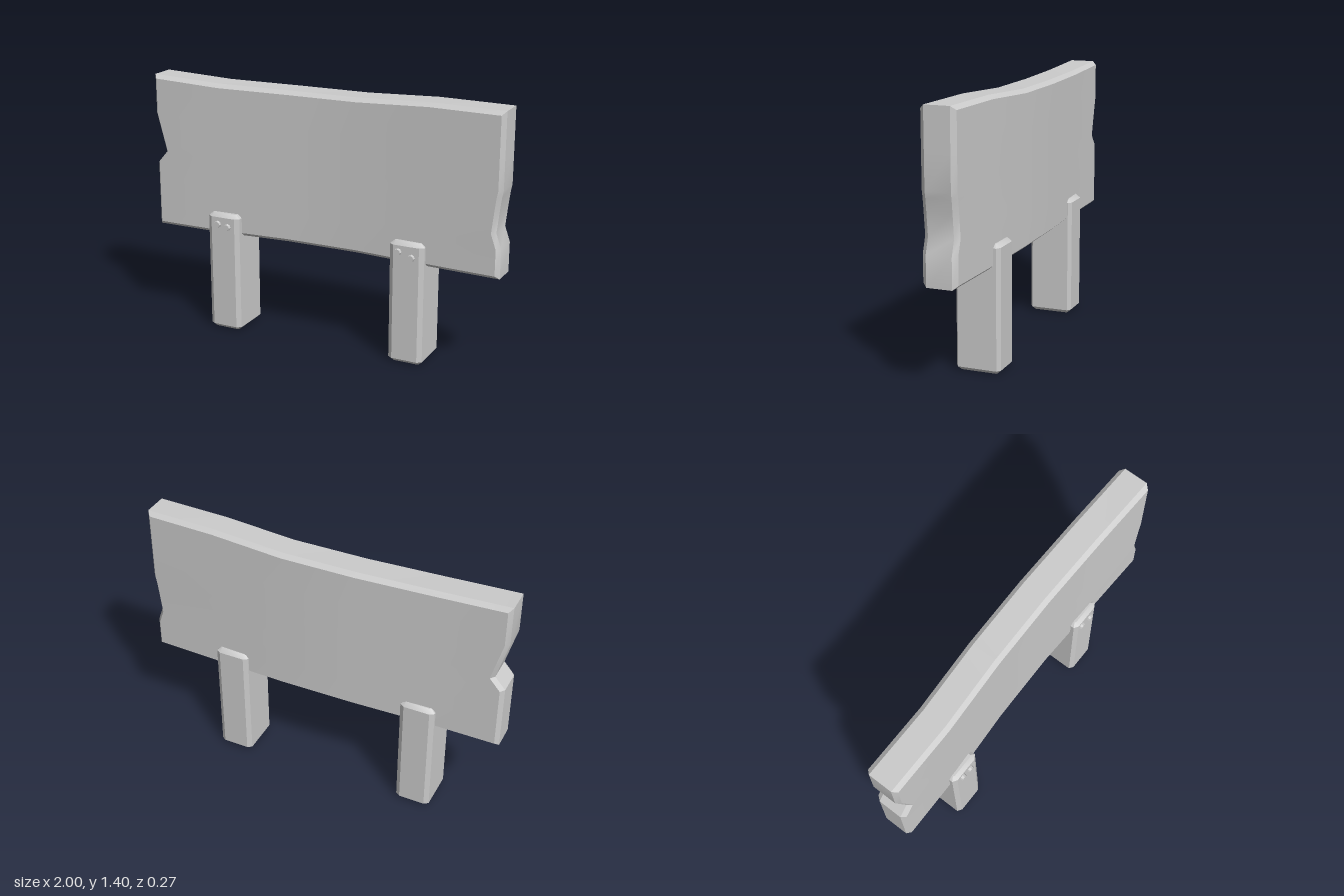
import * as THREE from 'three';
import { toCreasedNormals } from 'three/addons/utils/BufferGeometryUtils.js';

const material = new THREE.MeshStandardMaterial({ color: 0xcccccc });

function addMesh(parent, name, geometry) {
  const mesh = new THREE.Mesh(toCreasedNormals(geometry, 0.5), material);
  mesh.name = name;
  parent.add(mesh);
  return mesh;
}

// Board: a box grid whose columns bow in z and dip at the top,
// whose rows carry the notched ends, and whose outer layers are inset as a chamfer
function boardGeometry() {
  const colX = [-1, -0.6, -0.2, 0.2, 0.6, 1];
  const colTop = [1.393, 1.377, 1.376, 1.377, 1.397, 1.397];
  const colBottom = [0.542, 0.543, 0.548, 0.548, 0.543, 0.542];
  const colZ = [0, -0.003, -0.024, -0.028, -0.014, 0];
  const rowY = [0.542, 0.7, 0.78, 0.9, 0.965, 1.0, 1.18, 1.393];
  const rowLeftEnd = [-1, -1, -1, -1, -0.943, -0.952, -1, -1];
  const rowRightEnd = [1, 1, 0.972, 0.985, 0.993, 1, 1, 1];
  const layerZ = [-0.09, -0.066, 0.066, 0.09];
  const nx = colX.length - 1, ny = rowY.length - 1;

  const geometry = new THREE.BoxGeometry(1, 1, 1, nx, ny, 3);
  const p = geometry.attributes.position;
  for (let i = 0; i < p.count; i++) {
    const c = Math.round((p.getX(i) + 0.5) * nx);
    const r = Math.round((p.getY(i) + 0.5) * ny);
    const l = Math.round((p.getZ(i) + 0.5) * 3);
    const inset = l === 0 || l === 3 ? 0.02 : 0;
    let x = colX[c], y = rowY[r];
    if (c === 0) x = rowLeftEnd[r] + inset;
    if (c === nx) x = rowRightEnd[r] - inset;
    if (r === 0) y = colBottom[c] + inset;
    if (r === ny) y = colTop[c] - inset;
    p.setXYZ(i, x, y, colZ[c] + layerZ[l]);
  }
  return geometry;
}

// Post: an eight-sided section raised in y with chamfered ends
function postGeometry(width, depth, height) {
  const w = width / 2, d = depth / 2, cx = 0.024, cz = 0.016, bevel = 0.02;
  const section = new THREE.Shape([
    [w, d - cz], [w - cx, d], [cx - w, d], [-w, d - cz],
    [-w, cz - d], [cx - w, -d], [w - cx, -d], [w, cz - d],
  ].map(([x, z]) => new THREE.Vector2(x, z)));
  const geometry = new THREE.ExtrudeGeometry(section, {
    depth: height - 2 * bevel, bevelEnabled: true, bevelSegments: 1,
    bevelThickness: bevel, bevelSize: 0.022, bevelOffset: -0.022,
  });
  return geometry.rotateX(-Math.PI / 2).translate(0, bevel, 0);
}

export function createModel() {
  const model = new THREE.Group();
  model.name = 'signBoard';
  addMesh(model, 'board', boardGeometry());

  // Two posts, each with a pair of bolts in front
  const posts = [
    { side: 'right', x: -0.564, back: -0.121, front: 0.122, bolts: [[-0.595, 0.61], [-0.535, 0.6]] },
    { side: 'left', x: 0.51, back: -0.134, front: 0.106, bolts: [[0.466, 0.615], [0.54, 0.592]] },
  ];
  for (const { side, x, back, front, bolts } of posts) {
    const group = new THREE.Group();
    group.name = side + 'Leg';
    const post = addMesh(group, side + 'Post', postGeometry(0.19, front - back, 0.67));
    post.position.set(x, 0, (front + back) / 2);
    for (const [bx, by] of bolts) {
      const bolt = addMesh(group, side + 'Bolt',
        new THREE.CylinderGeometry(0.017, 0.022, 0.026, 8).rotateX(Math.PI / 2));
      bolt.position.set(bx, by, front + 0.002);
    }
    model.add(group);
  }
  return model;
}
